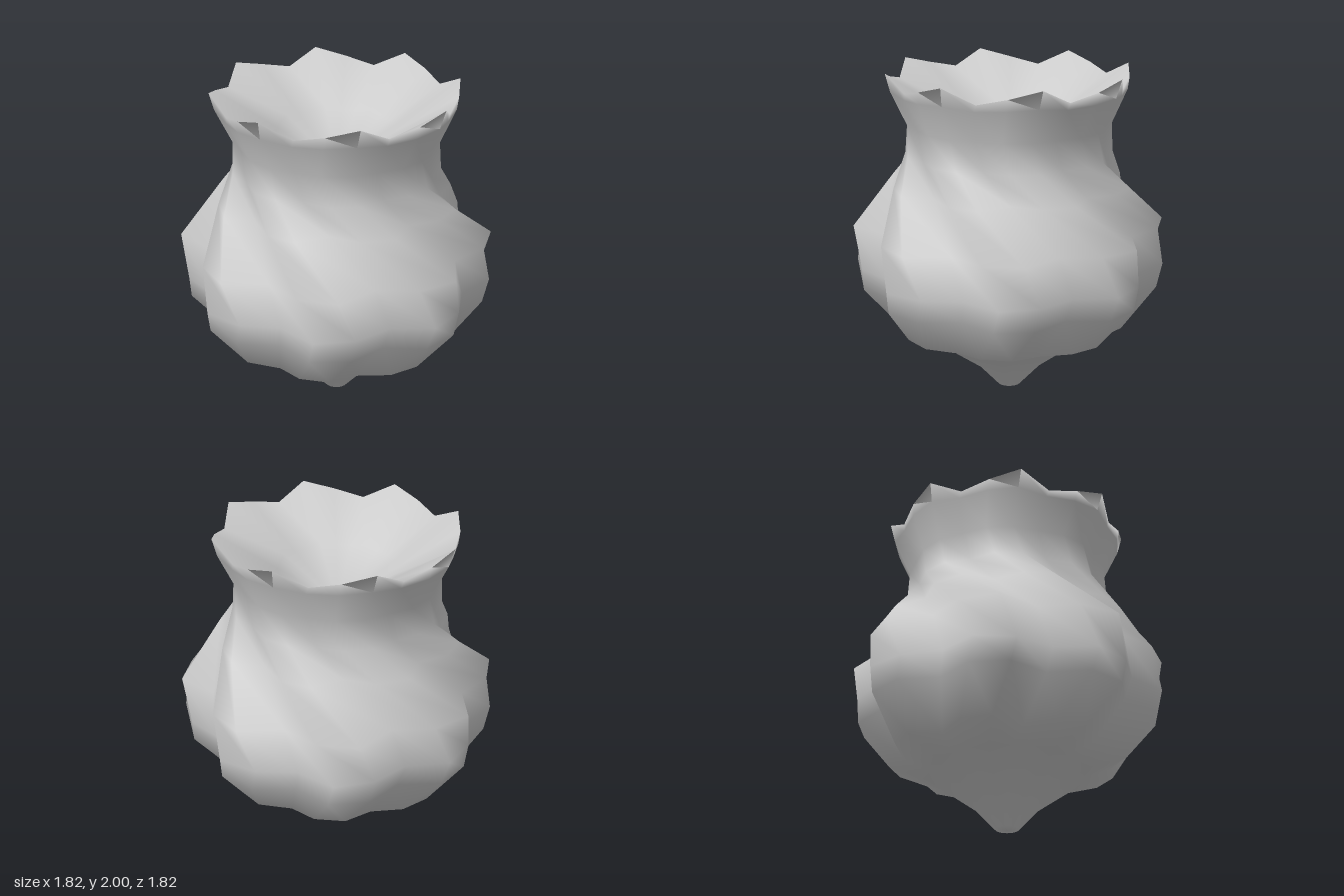
import * as THREE from 'three';
import { mergeVertices } from 'three/addons/utils/BufferGeometryUtils.js';

const LOBES = 8, STEP = 15;

// Rings from the foot up, over the rim and down the inside:
// [valley angle in degrees, three radii and three heights (valley, crest, shoulder)]
const RINGS = [
  [20, [0, 0, 0], [0, 0, 0]],
  [20, [0.07, 0.07, 0.07], [0.01, 0.01, 0.01]],
  [20, [0.18, 0.2, 0.2], [0.15, 0.15, 0.15]],
  [18, [0.46, 0.48, 0.47], [0.35, 0.35, 0.35]],
  [12, [0.61, 0.71, 0.70], [0.41, 0.43, 0.43]],
  [4, [0.77, 0.89, 0.90], [0.67, 0.67, 0.67]],
  [2, [0.81, 0.90, 0.935], [0.81, 0.81, 0.81]],
  [8, [0.79, 0.94, 0.90], [1.06, 1.06, 1.06]],
  [27, [0.62, 0.73, 0.71], [1.32, 1.32, 1.32]],
  [42, [0.58, 0.62, 0.62], [1.5, 1.5, 1.5]],
  [47, [0.59, 0.61, 0.61], [1.68, 1.68, 1.68]],
  [45, [0.68, 0.71, 0.70], [1.87, 1.89, 1.88]],
  [44, [0.685, 0.74, 0.71], [1.91, 2, 1.95]],
  [44, [0.35, 0.36, 0.35], [1.73, 1.74, 1.73]],
  [44, [0, 0, 0], [1.5, 1.5, 1.5]],
];

export function createModel() {
  const group = new THREE.Group();
  group.name = 'twistedVase';

  const columns = LOBES * 3;
  const positions = [], index = [];
  for (const [turn, radii, heights] of RINGS) {
    for (let j = 0; j < columns; j++) {
      const a = THREE.MathUtils.degToRad(turn + j * STEP);
      const r = radii[j % 3];
      positions.push(r * Math.cos(a), heights[j % 3], r * Math.sin(a));
    }
  }
  const last = RINGS.length - 2;
  for (let i = 0; i <= last; i++) {
    for (let j = 0; j < columns; j++) {
      const a = i * columns + j, b = i * columns + (j + 1) % columns;
      const c = a + columns, d = b + columns;
      // The end rings close to a point, so they need one triangle per column
      if (i < last) index.push(a, c, d);
      if (i > 0) index.push(a, d, b);
    }
  }

  let geometry = new THREE.BufferGeometry();
  geometry.setAttribute('position', new THREE.Float32BufferAttribute(positions, 3));
  geometry.setIndex(index);
  geometry = mergeVertices(geometry);
  geometry.computeVertexNormals();

  // Lobed body, scalloped rim and funnel in one continuous skin
  const body = new THREE.Mesh(geometry, new THREE.MeshStandardMaterial({ color: 0xcccccc, side: THREE.DoubleSide }));
  body.name = 'lobedBody';
  group.add(body);
  return group;
}
